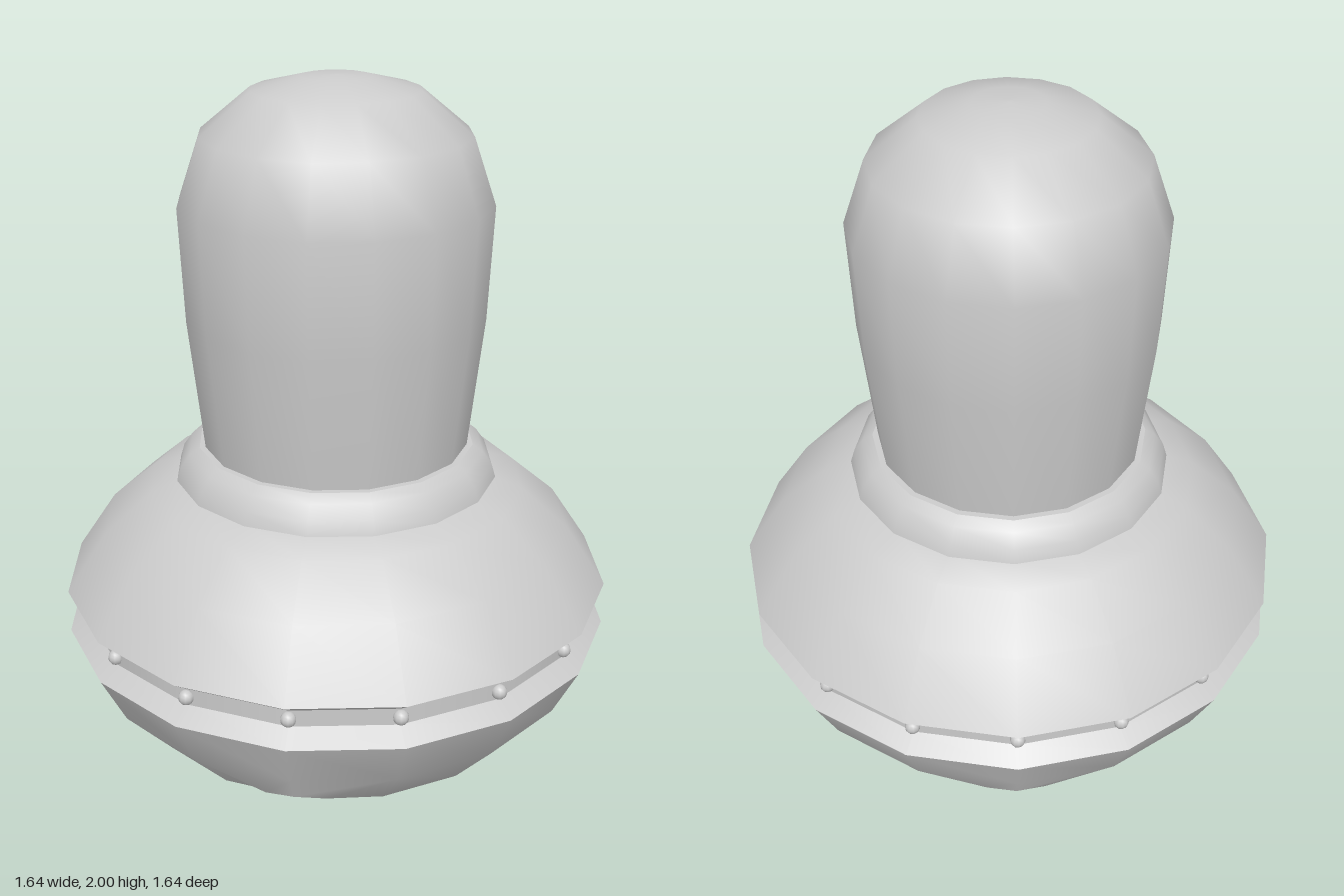
import * as THREE from 'three';

const SIDES = 16;
const material = new THREE.MeshStandardMaterial({ color: 0xcccccc });
const creased = new THREE.MeshStandardMaterial({ color: 0xcccccc, flatShading: true });
const inside = new THREE.MeshStandardMaterial({ color: 0xcccccc, flatShading: true, side: THREE.BackSide });

function mesh(name, geometry, mat = material) {
  const m = new THREE.Mesh(geometry, mat);
  m.name = name;
  return m;
}

// Revolved part; profile runs from bottom to top as [radius, height]
function revolve(name, profile) {
  return mesh(name, new THREE.LatheGeometry(profile.map(p => new THREE.Vector2(...p)), SIDES));
}

// Lamp sockets: octagonal, tilted down and out, one per diagonal
const SOCKET = { radius: 0.122, depth: 0.05, out: 0.6, height: 0.08, tilt: Math.PI / 3 };

function socketMatrix(angle) {
  const radial = new THREE.Vector3(Math.sin(angle), 0, Math.cos(angle));
  const up = new THREE.Vector3(0, 1, 0);
  const c = Math.cos(SOCKET.tilt), s = Math.sin(SOCKET.tilt);
  const normal = radial.clone().multiplyScalar(c).addScaledVector(up, -s);
  const slope = radial.clone().multiplyScalar(s).addScaledVector(up, c);
  const side = normal.clone().cross(slope);
  return new THREE.Matrix4().makeBasis(side, normal, slope)
    .setPosition(radial.multiplyScalar(SOCKET.out).setY(SOCKET.height));
}

// Lower hull: rings of quads, with an octagonal opening cut at each diagonal
function lowerHullGeometry() {
  const rows = [[0.355, 0.0], [0.47, 0.022], [0.6, 0.06], [0.745, 0.22], [0.82, 0.37]];
  const positions = [], index = [];
  const id = (i, j) => i * SIDES + (j + SIDES) % SIDES;
  for (const [r, y] of rows) {
    for (let j = 0; j < SIDES; j++) {
      const a = j / SIDES * Math.PI * 2;
      positions.push(r * Math.sin(a), y, r * Math.cos(a));
    }
  }
  for (let i = 0; i < rows.length - 1; i++) {
    for (let j = 0; j < SIDES; j++) {
      const open = (i === 1 || i === 2) && (j % 4 === 1 || j % 4 === 2);
      if (open) continue;
      index.push(id(i, j), id(i, j + 1), id(i + 1, j));
      index.push(id(i + 1, j), id(i, j + 1), id(i + 1, j + 1));
    }
  }
  // Join each opening's octagon to the eight hull points around it
  for (let j = 2; j < SIDES; j += 4) {
    const matrix = socketMatrix(j / SIDES * Math.PI * 2);
    const border = [[3, 0], [3, -1], [2, -1], [1, -1], [1, 0], [1, 1], [2, 1], [3, 1]]
      .map(([row, dj]) => id(row, j + dj));
    const first = positions.length / 3;
    for (let k = 0; k < 8; k++) {
      const a = k * Math.PI / 4;
      const p = new THREE.Vector3(Math.sin(a), 0, Math.cos(a)).multiplyScalar(SOCKET.radius);
      positions.push(...p.applyMatrix4(matrix));
      const n = (k + 1) % 8;
      index.push(first + k, border[k], first + n);
      index.push(first + n, border[k], border[n]);
    }
  }
  const g = new THREE.BufferGeometry();
  g.setAttribute('position', new THREE.Float32BufferAttribute(positions, 3));
  g.setIndex(index);
  g.computeVertexNormals();
  return g;
}

// Socket wall and the shallow lamp dome at its bottom
function createLamp(angle) {
  const lamp = new THREE.Group();
  lamp.name = 'lamp';
  const { radius, depth } = SOCKET;
  const wall = mesh('lampSocket', new THREE.CylinderGeometry(radius, radius, depth, 8, 1, true), inside);
  wall.position.y = -depth / 2;
  const dome = mesh('lampDome', new THREE.SphereGeometry(radius, 8, 4, Math.PI / 2, Math.PI * 2, 0, Math.PI / 2));
  dome.scale.y = 0.28;
  dome.position.y = -depth;
  lamp.add(wall, dome);
  lamp.applyMatrix4(socketMatrix(angle));
  return lamp;
}

export function createModel() {
  const model = new THREE.Group();
  model.name = 'saucer';

  // Cabin and collar
  model.add(
    revolve('cabinDome', [[0.38, 0.85], [0.392, 0.93], [0.435, 1.32], [0.45, 1.65],
      [0.385, 1.84], [0.24, 1.96], [0.1, 1.995], [0, 2]]),
    revolve('collar', [[0.48, 0.83], [0.468, 0.87], [0.44, 0.91], [0.41, 0.93]]),
    revolve('collarTop', [[0.41, 0.93], [0.38, 0.93]])
  );

  // Hull and the grooved band between its halves
  model.add(
    revolve('upperHull', [[0.82, 0.5], [0.7, 0.68], [0.56, 0.8], [0.47, 0.832]]),
    revolve('upperLip', [[0.765, 0.46], [0.82, 0.5]]),
    revolve('band', [[0.765, 0.41], [0.765, 0.46]]),
    revolve('lowerLip', [[0.82, 0.37], [0.765, 0.41]]),
    mesh('lowerHull', lowerHullGeometry())
  );

  // Round recess underneath
  model.add(
    revolve('recessWall', [[0.285, 0.105], [0.355, 0]]),
    revolve('recessCeiling', [[0, 0.105], [0.285, 0.105]])
  );

  // Rivets round the band
  const rivetGeometry = new THREE.SphereGeometry(0.022, 10, 8);
  for (let j = 0; j < SIDES; j++) {
    const a = j / SIDES * Math.PI * 2;
    const rivet = mesh('rivet', rivetGeometry);
    rivet.position.set(0.768 * Math.sin(a), 0.435, 0.768 * Math.cos(a));
    model.add(rivet);
  }

  // Lamps on the diagonals
  for (let q = 0; q < 4; q++) model.add(createLamp(Math.PI / 4 + q * Math.PI / 2));

  // The recess wall winds the other way from the hull, so flip it to face the opening
  const recess = model.getObjectByName('recessWall');
  recess.material = creased.clone();
  recess.material.side = THREE.DoubleSide;
  return model;
}
